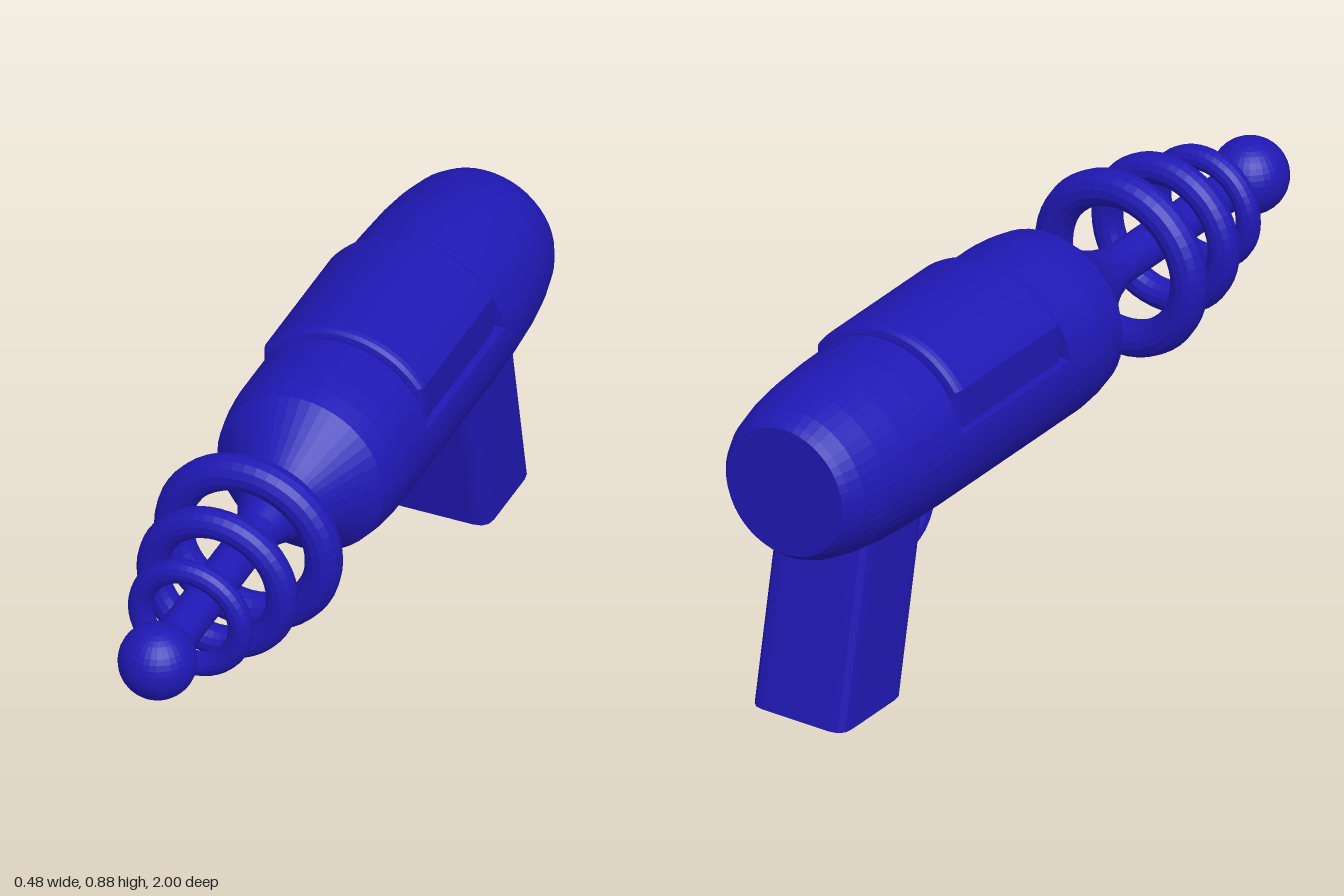
import * as THREE from 'three';

const AXIS = 0.628; // height of the barrel axis
const R = 0.228; // body radius

export function createModel() {
  const model = new THREE.Group();
  const blue = new THREE.MeshStandardMaterial({ color: 0x2018b4, flatShading: true });

  const add = (name, geometry, x = 0, y = 0, z = 0) => {
    const mesh = new THREE.Mesh(geometry, blue);
    mesh.name = name;
    mesh.position.set(x, y, z);
    model.add(mesh);
    return mesh;
  };

  // Turned part along z from [z, radius] pairs
  const turned = (name, profile) => {
    const points = profile.map(([z, r]) => new THREE.Vector2(r, z));
    add(name, new THREE.LatheGeometry(points, 48).rotateX(Math.PI / 2), 0, AXIS, 0);
  };

  // Side outline in (z, y), extruded across x
  const sideCut = (name, shape, width) => {
    const g = new THREE.ExtrudeGeometry(shape, { depth: width, bevelEnabled: false, curveSegments: 6 });
    add(name, g.translate(0, 0, -width / 2).rotateY(-Math.PI / 2));
  };

  // Body: tapered rear, nose flowing into the barrel
  turned('rearBody', [[-1, 0], [-1, 0.165], [-0.985, 0.178], [-0.95, 0.194], [-0.88, 0.21],
    [-0.8, 0.22], [-0.7, 0.226], [-0.595, R], [-0.595, 0]]);
  turned('frontBody', [[-0.15, 0], [-0.15, R], [-0.02, R], [0.03, 0.223], [0.08, 0.213], [0.15, 0.155],
    [0.2, 0.116], [0.24, 0.09], [0.29, 0.068], [0.34, 0.054], [0.38, 0.05], [0.88, 0.05], [0.88, 0]]);

  // Middle of the body, cut flat under the top cover
  const a = Math.asin(0.042 / R);
  const trough = new THREE.Shape();
  trough.absarc(0, 0, R, Math.PI - a, 2 * Math.PI + a, false);
  add('middleBody', new THREE.ExtrudeGeometry(trough, { depth: 0.445, bevelEnabled: false, curveSegments: 28 }),
    0, AXIS, -0.595);

  // Raised top cover with rounded edges
  const bevel = 0.022, coverR = 0.249 - bevel, halfW = 0.205 - bevel;
  const c = Math.acos(halfW / coverR);
  const cover = new THREE.Shape();
  cover.moveTo(-halfW, 0.04);
  cover.lineTo(halfW, 0.04);
  cover.absarc(0, 0, coverR, c, Math.PI - c, false);
  add('topCover', new THREE.ExtrudeGeometry(cover, {
    depth: 0.427 - 2 * bevel, bevelThickness: bevel, bevelSize: bevel, bevelSegments: 3, curveSegments: 16,
  }), 0, AXIS, -0.584 + bevel);

  // Emitter rings and tip ball
  for (const [z, outer, tube] of [[0.38, 0.238, 0.045], [0.56, 0.204, 0.038], [0.715, 0.158, 0.03]]) {
    add('emitterRing', new THREE.TorusGeometry(outer - tube, tube, 14, 48), 0, AXIS, z);
  }
  add('tipBall', new THREE.SphereGeometry(0.094, 32, 20), 0, AXIS, 0.906);

  // Grip: rounded block sheared backwards towards the base
  const w = 0.133, d = 0.127, k = 0.038;
  const section = new THREE.Shape();
  section.moveTo(-w + k, -d);
  section.lineTo(w - k, -d);
  section.quadraticCurveTo(w, -d, w, -d + k);
  section.lineTo(w, d - k);
  section.quadraticCurveTo(w, d, w - k, d);
  section.lineTo(-w + k, d);
  section.quadraticCurveTo(-w, d, -w, d - k);
  section.lineTo(-w, -d + k);
  section.quadraticCurveTo(-w, -d, -w + k, -d);
  const grip = new THREE.ExtrudeGeometry(section, { depth: 0.5, bevelEnabled: false, curveSegments: 3 });
  grip.rotateX(-Math.PI / 2);
  const p = grip.attributes.position;
  for (let i = 0; i < p.count; i++) p.setZ(i, p.getZ(i) - 0.827 + 0.205 * p.getY(i));
  grip.computeVertexNormals();
  add('grip', grip);

  // Trigger guard: a curved strip of even thickness
  const curve = new THREE.CatmullRomCurve3([[-0.41, 0.43], [-0.415, 0.375], [-0.45, 0.305], [-0.51, 0.274],
    [-0.58, 0.261], [-0.67, 0.274]].map(([z, y]) => new THREE.Vector3(z, y, 0)));
  const outer = [], inner = [];
  for (let i = 0; i <= 14; i++) {
    const q = curve.getPoint(i / 14), t = curve.getTangent(i / 14);
    outer.push(new THREE.Vector2(q.x - t.y * 0.01, q.y + t.x * 0.01));
    inner.unshift(new THREE.Vector2(q.x + t.y * 0.01, q.y - t.x * 0.01));
  }
  sideCut('triggerGuard', new THREE.Shape([...outer, ...inner]), 0.04);

  // Trigger: a crescent that tapers to its tip
  const trigger = new THREE.Shape();
  trigger.moveTo(-0.61, 0.42);
  trigger.quadraticCurveTo(-0.595, 0.345, -0.54, 0.322);
  trigger.quadraticCurveTo(-0.575, 0.36, -0.578, 0.42);
  sideCut('trigger', trigger, 0.036);

  return model;
}
